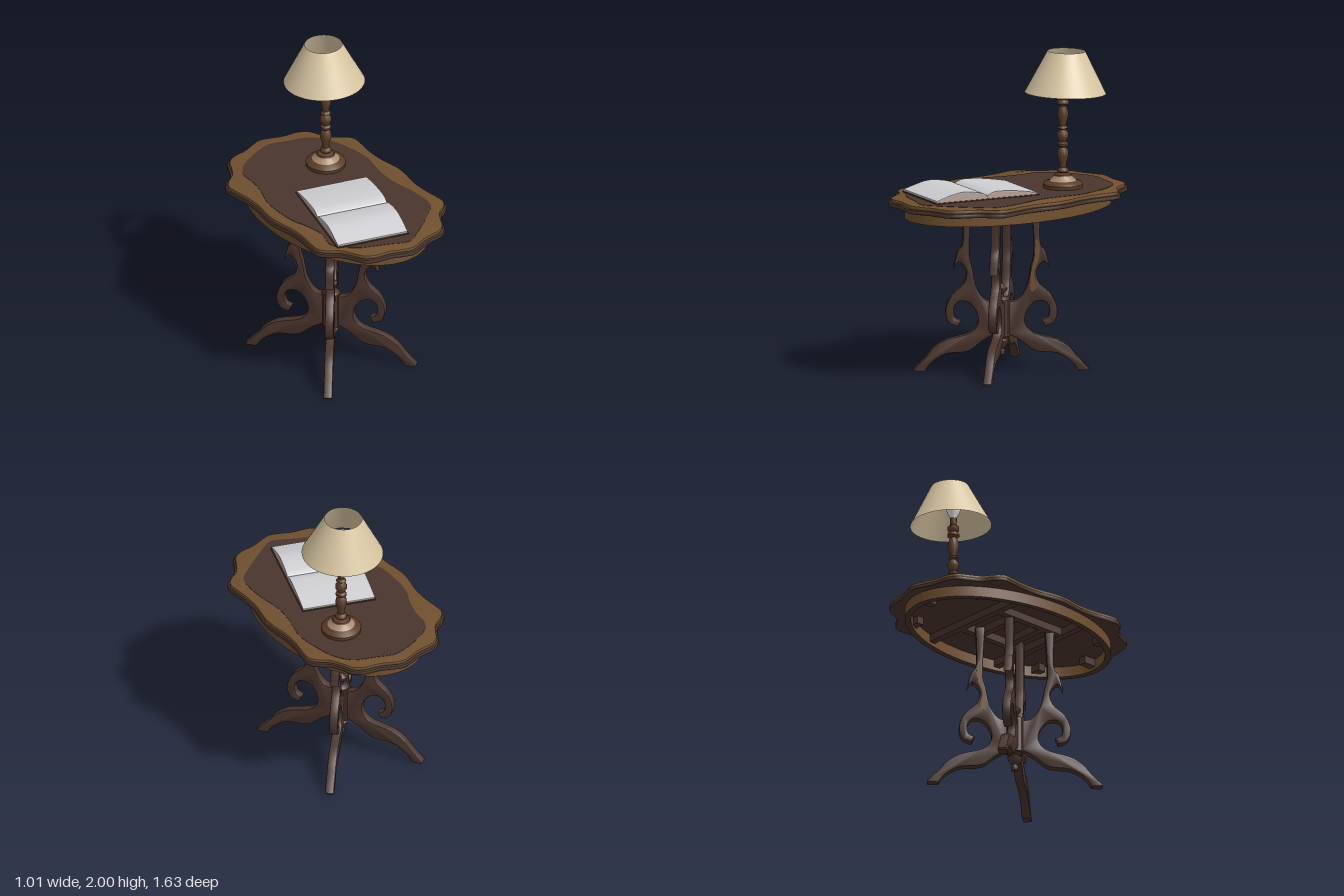
import * as THREE from 'three';
import { toCreasedNormals } from 'three/addons/utils/BufferGeometryUtils.js';

const material = (name, color, extra = {}) => {
  const m = new THREE.MeshStandardMaterial({ color, ...extra });
  m.name = name;
  return m;
};

const V = (pts) => pts.map(([x, y]) => new THREE.Vector2(x, y));

// Outline made of smooth runs that meet at sharp corners
function runsShape(runs, divisions = 4) {
  const pts = [];
  for (const run of runs) {
    const smooth = run.length > 2
      ? new THREE.SplineCurve(V(run)).getPoints((run.length - 1) * divisions) : V(run);
    pts.push(...smooth.slice(0, -1));
  }
  return new THREE.Shape(pts);
}

function closedShape(pts, scale = 1, divisions = 140) {
  const curve = new THREE.CatmullRomCurve3(
    pts.map(([x, z]) => new THREE.Vector3(x * scale, -z * scale, 0)), true, 'centripetal');
  return new THREE.Shape(curve.getPoints(divisions).slice(0, -1).map((p) => new THREE.Vector2(p.x, p.y)));
}

export function createModel() {
  const model = new THREE.Group();
  const darkWood = material('dark wood', 0x4a352d);
  const wornWood = material('worn golden wood', 0x70502f);
  const lampWood = material('lamp wood', 0x5a3c26);
  const paleWear = material('pale worn wood', 0xa98a70);
  const shadeCloth = material('shade cloth', 0xd9c7a3, { side: THREE.DoubleSide });
  const paper = material('paper', 0xcfcfd3);
  const paperEdge = material('paper edge', 0xb8a296);
  const glass = material('bulb glass', 0xe4e4e6);

  const add = (name, geometry, mat, parent = model) => {
    const mesh = new THREE.Mesh(geometry, mat);
    mesh.name = name;
    parent.add(mesh);
    return mesh;
  };
  // Horizontal slab from bottom to top with a rounded edge
  const slab = (shape, bottom, top, bevel = 0) => {
    const g = new THREE.ExtrudeGeometry(shape, {
      depth: top - bottom - 2 * bevel, curveSegments: 40, bevelEnabled: bevel > 0,
      bevelThickness: bevel, bevelSize: bevel, bevelOffset: -bevel, bevelSegments: 2 });
    g.rotateX(-Math.PI / 2).translate(0, bottom + bevel, 0);
    return toCreasedNormals(g, 0.6);
  };
  // Upright plate centred on z = 0
  const plate = (shape, thickness, bevel = 0) => {
    const g = new THREE.ExtrudeGeometry(shape, {
      depth: thickness - 2 * bevel, bevelEnabled: bevel > 0,
      bevelThickness: bevel, bevelSize: bevel, bevelOffset: -bevel, bevelSegments: 2 });
    g.translate(0, 0, -thickness / 2 + bevel);
    return toCreasedNormals(g, 0.6);
  };
  const lathe = (pts, segments = 28) =>
    toCreasedNormals(new THREE.LatheGeometry(V(pts), segments), 0.7);

  // Scalloped table top: one quarter mirrored to a full outline
  const quarter = [[0, .815], [.08, .79], [.15, .765], [.25, .75], [.31, .715], [.345, .65], [.39, .575],
    [.46, .525], [.495, .475], [.495, .42], [.48, .3], [.48, .18], [.497, .08], [.505, 0]];
  const half = [...quarter, ...quarter.slice(0, -1).reverse().map(([x, z]) => [x, -z])];
  const outline = [...half, ...half.slice(1, -1).reverse().map(([x, z]) => [-x, z])];
  add('tableTopLip', slab(closedShape(outline), 1.09, 1.118, .008), darkWood);
  add('tableTop', slab(closedShape(outline, .98), 1.115, 1.14, .008), wornWood);
  const field = [[.01, -.715], [.13, -.68], [.27, -.63], [.35, -.52], [.385, -.4], [.41, -.24], [.375, -.05],
    [.37, .09], [.4, .28], [.39, .46], [.31, .54], [.18, .64], [.12, .68], [.03, .73], [-.1, .68], [-.2, .64],
    [-.28, .6], [-.39, .48], [-.36, .33], [-.38, .2], [-.41, .1], [-.41, -.15], [-.36, -.3], [-.335, -.42],
    [-.33, -.52], [-.27, -.6], [-.19, -.65], [-.1, -.69]];
  add('darkTopField', slab(closedShape(field), 1.139, 1.142), darkWood);

  // Oval apron ring
  const ring = new THREE.Shape().absellipse(0, 0, .472, .75, 0, Math.PI * 2);
  ring.holes.push(new THREE.Path().absellipse(0, 0, .435, .71, 0, Math.PI * 2));
  add('apron', slab(ring, 1.022, 1.095), [darkWood, wornWood]);

  // Hidden frame under the top
  const bar = (name, w, d, x, z) =>
    add(name, new THREE.BoxGeometry(w, .05, d).translate(x, 1.067, z), darkWood);
  for (const s of [-1, 1]) {
    bar('crossRail', .8, .045, 0, s * .27);
    bar('longRail', .045, .54, s * .17 - .03, 0);
    bar('innerRail', .36, .045, -.03, s * .11);
    bar('endBlock', .05, .09, 0, s * .67);
    for (const t of [-1, 1]) bar('cornerBlock', .07, .05, s * .28, t * .51);
  }

  // Pedestal: turned post and four scrolled legs
  const pedestal = new THREE.Group();
  pedestal.name = 'pedestal';
  pedestal.position.set(-.045, 0, .015);
  model.add(pedestal);
  add('post', toCreasedNormals(new THREE.CylinderGeometry(.062, .062, .23, 8).translate(0, .335, 0), .3),
    darkWood, pedestal);
  add('finial', lathe([[0, .445], [.055, .445], [.045, .46], [.018, .47], [.016, .485], [.036, .505],
    [.038, .52], [.02, .53], [.01, .545], [0, .55]]), darkWood, pedestal);
  add('pendant', lathe([[0, .1], [.02, .102], [.024, .125], [.018, .14], [.028, .15], [.042, .175],
    [.045, .19], [.028, .205], [.05, .225], [0, .225]]), darkWood, pedestal);

  const legShape = runsShape([
    [[.185, 1.07], [.245, 1.07]],
    [[.245, 1.07], [.24, .82], [.275, .75], [.3, .65]],
    [[.3, .65], [.262, .69], [.218, .63], [.238, .55], [.31, .48], [.347, .39], [.33, .31], [.27, .28]],
    [[.27, .28], [.25, .32]],
    [[.25, .32], [.288, .34], [.295, .4], [.26, .44], [.2, .43], [.155, .37], [.148, .3], [.2, .24],
      [.34, .2], [.42, .15], [.475, .085], [.545, .012]],
    [[.545, .012], [.54, 0]],
    [[.54, 0], [.475, 0]],
    [[.475, 0], [.435, .055], [.345, .11], [.21, .125], [.12, .19], [.03, .24]],
    [[.03, .24], [.03, .44]],
    [[.03, .44], [.1, .45], [.155, .53], [.18, .65], [.2, .76], [.185, 1.07]],
  ]);
  const legGeometry = plate(legShape, .055, .008);
  const spread = 51 * Math.PI / 180;
  for (const angle of [spread, -spread, Math.PI - spread, Math.PI + spread]) {
    add('scrolledLeg', legGeometry, darkWood, pedestal).rotation.y = angle;
  }
  // Worn patch on both faces of one leg
  const patch = closedShape([[.215, -.84], [.235, -.8], [.23, -.7], [.2, -.62], [.215, -.52], [.185, -.5],
    [.18, -.6], [.205, -.72]], 1, 32);
  add('wornLegPatch', plate(patch, .058), wornWood, pedestal).rotation.y = spread;

  // Table lamp
  const lamp = new THREE.Group();
  lamp.name = 'lamp';
  lamp.position.set(.155, 0, -.317);
  model.add(lamp);
  add('lampBase', lathe([[0, 1.141], [.122, 1.141], [.125, 1.165], [.115, 1.178], [.08, 1.186],
    [.06, 1.205], [.052, 1.225], [.03, 1.235], [0, 1.235]], 36), lampWood, lamp);
  add('wornBaseRing', lathe([[.085, 1.187], [.0645, 1.205], [.058, 1.216]], 36), paleWear, lamp);
  add('lampStem', lathe([[.024, 1.23], [.036, 1.243], [.034, 1.255], [.02, 1.268], [.024, 1.3], [.036, 1.345],
    [.033, 1.375], [.02, 1.395], [.034, 1.405], [.034, 1.418], [.02, 1.43], [.036, 1.458], [.036, 1.48],
    [.02, 1.505], [.032, 1.515], [.02, 1.53], [.024, 1.555], [.036, 1.6], [.03, 1.63], [.022, 1.655],
    [.037, 1.668], [.037, 1.682], [.026, 1.695], [.036, 1.71], [.036, 1.73], [.02, 1.745],
    [.022, 1.79], [0, 1.79]]), lampWood, lamp);
  add('bulb', lathe([[.018, 1.785], [.022, 1.8], [.04, 1.83], [.044, 1.85], [.038, 1.872],
    [.022, 1.888], [0, 1.893]]), glass, lamp);
  const shade = add('lampShade', new THREE.CylinderGeometry(.117, .253, .262, 48, 1, true), shadeCloth, lamp);
  shade.position.set(.002, 1.867, -.023);
  shade.rotation.x = -.035;

  // Open book with two arched page blocks
  const book = new THREE.Group();
  book.name = 'openBook';
  book.position.set(-.062, 1.142, .253);
  book.rotation.y = -1.834;
  model.add(book);
  const left = [[-.35, .016], [-.2, .04], [-.07, .048], [-.015, .034], [0, .022]];
  const right = [[0, .022], [.02, .038], [.1, .056], [.2, .059], [.35, .018]];
  const lower = (run, d) => run.map(([x, y]) => [x, y - d]).reverse();
  for (const [side, run] of [['back', left], ['front', right]]) {
    const [first, last] = [run[0], run[run.length - 1]];
    add(side + 'PageSheet', plate(runsShape([run, [last, [last[0], last[1] - .005]], lower(run, .005),
      [[first[0], first[1] - .005], first]]), .464), paper, book);
    add(side + 'PageBlock', plate(runsShape([lower(run, .004).reverse(),
      [[last[0], last[1] - .004], [last[0], .003]], [[last[0], .003], [first[0], .003]],
      [[first[0], .003], [first[0], first[1] - .004]]]), .46), paperEdge, book);
  }
  add('bookCover', new THREE.BoxGeometry(.712, .006, .474).translate(0, .003, 0), darkWood, book);

  return model;
}
